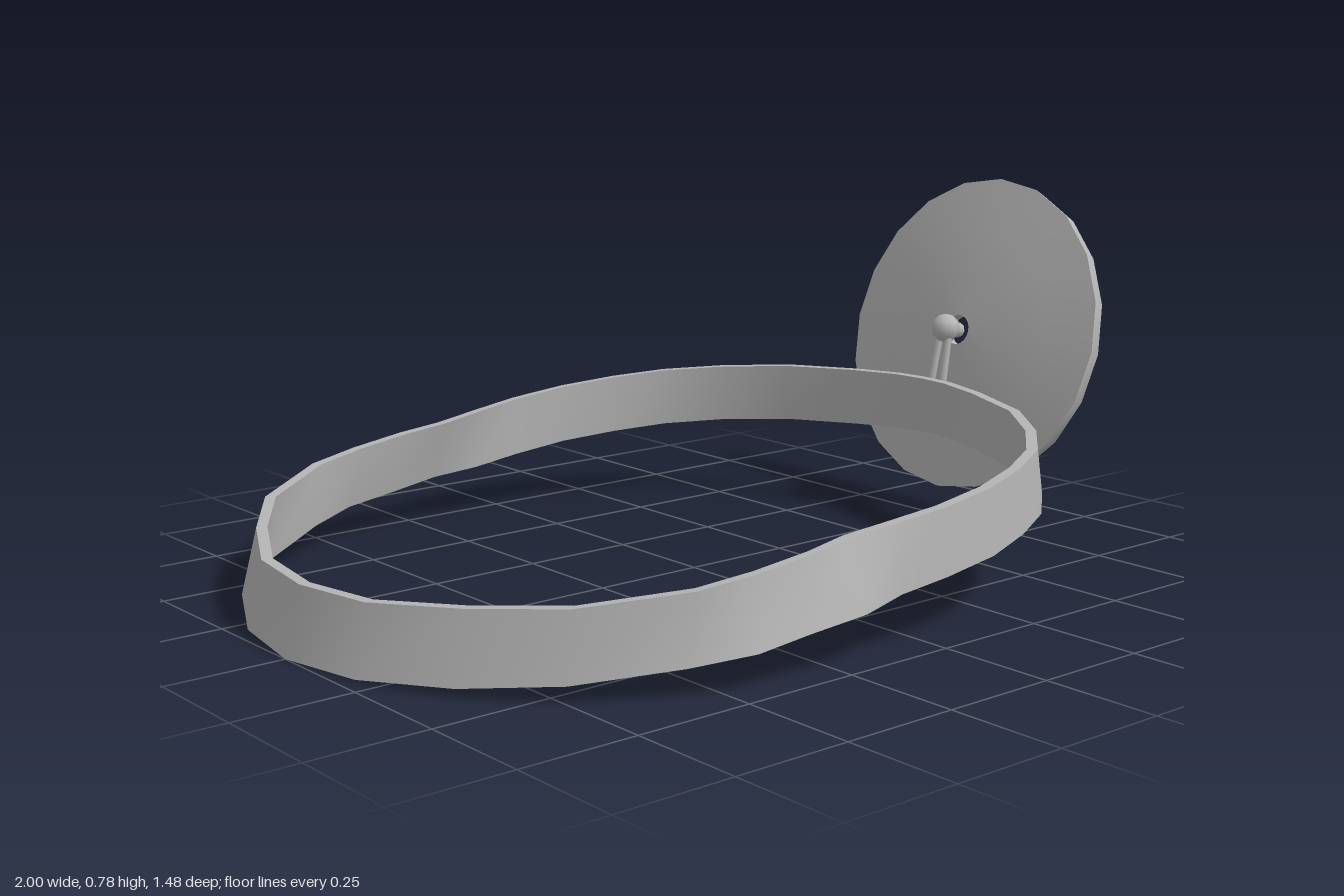
import * as THREE from 'three';
import { toCreasedNormals } from 'three/addons/utils/BufferGeometryUtils.js';

const metal = new THREE.MeshStandardMaterial({ color: 0xb4b4b4 });
metal.name = 'grey metal';

// Half outline of the band, left to right: bottom x, bottom z, top x, top z
const OUTLINE = [
  [-1, 0, -0.965, 0], [-0.97, 0.2, -0.94, 0.19], [-0.88, 0.39, -0.85, 0.375],
  [-0.75, 0.55, -0.735, 0.545], [-0.57, 0.665, -0.55, 0.665], [-0.45, 0.718, -0.43, 0.69],
  [-0.33, 0.725, -0.3, 0.698], [-0.2, 0.738, -0.2, 0.69], [-0.09, 0.718, -0.09, 0.703],
  [0.03, 0.722, 0.03, 0.714], [0.17, 0.712, 0.165, 0.703], [0.3, 0.672, 0.295, 0.665],
  [0.42, 0.615, 0.41, 0.608], [0.53, 0.52, 0.515, 0.512], [0.63, 0.38, 0.615, 0.375],
  [0.7, 0.2, 0.68, 0.2], [0.735, 0.08, 0.71, 0.08], [0.745, 0, 0.715, 0],
];

const bottomY = x => 0.126 + 0.112 * x - 0.014 * x * x;
const topY = x => 0.262 + 0.113 * x - 0.015 * x * x;

// Closed strap swept through four-cornered cross-sections
function bandGeometry() {
  const back = OUTLINE.slice(1, -1).reverse().map(([a, b, c, d]) => [a, -b, c, -d]);
  const loop = [...OUTLINE, ...back];
  const pos = [], index = [], n = loop.length;
  const inset = (x, z) => {
    const s = 1 - 0.023 / Math.hypot(x + 0.13, z);
    return [(x + 0.13) * s - 0.13, z * s];
  };
  for (const [xb, zb, xt, zt] of loop) {
    const [ixb, izb] = inset(xb, zb), [ixt, izt] = inset(xt, zt);
    pos.push(xb, bottomY(xb), zb, xt, topY(xt), zt, ixt, topY(xt), izt, ixb, bottomY(xb), izb);
  }
  for (let i = 0; i < n; i++) {
    for (let k = 0; k < 4; k++) {
      const a = i * 4 + k, d = i * 4 + (k + 1) % 4;
      const b = ((i + 1) % n) * 4 + k, c = ((i + 1) % n) * 4 + (k + 1) % 4;
      index.push(a, b, c, a, c, d);
    }
  }
  const g = new THREE.BufferGeometry();
  g.setAttribute('position', new THREE.Float32BufferAttribute(pos, 3));
  g.setIndex(index);
  return toCreasedNormals(g, 0.7);
}

export function createModel() {
  const model = new THREE.Group();
  model.name = 'headMirror';
  const Z = -0.018; // centre line of the mirror and its hinge

  const add = (name, geometry, x = 0, y = 0, z = 0, parent = model) => {
    const mesh = new THREE.Mesh(geometry, metal);
    mesh.name = name;
    mesh.position.set(x, y, z);
    parent.add(mesh);
    return mesh;
  };
  // Rod between two points
  const rod = (name, a, b, radius) => {
    const from = new THREE.Vector3(...a), to = new THREE.Vector3(...b);
    const dir = to.clone().sub(from);
    const mesh = add(name, new THREE.CylinderGeometry(radius, radius, dir.length(), 8));
    mesh.position.copy(from).add(to).multiplyScalar(0.5);
    mesh.quaternion.setFromUnitVectors(new THREE.Vector3(0, 1, 0), dir.normalize());
  };

  add('headband', bandGeometry());

  // Dished mirror with a viewing hole
  const profile = [
    [0.035, -0.06], [0.14, -0.053], [0.25, -0.038], [0.375, -0.016], [0.367, 0.018],
    [0.25, -0.008], [0.14, -0.026], [0.035, -0.035], [0.035, -0.06],
  ].map(p => new THREE.Vector2(...p));
  const mirror = add('mirror', toCreasedNormals(new THREE.LatheGeometry(profile, 20), 0.5), 0.89, 0.418, Z);
  mirror.rotation.z = -1.839;

  // Ball joint behind the mirror
  add('ballJoint', new THREE.SphereGeometry(0.034, 8, 6), 0.792, 0.442, Z);
  rod('ballStub', [0.79, 0.442, Z], [0.838, 0.432, Z], 0.018);

  // Paired arms down to the hinge
  for (const side of [-1, 1]) {
    rod('arm', [0.788, 0.425, Z + side * 0.014], [0.758, 0.27, Z + side * 0.02], 0.009);
    add('hingeKnob', new THREE.SphereGeometry(0.022, 8, 6), 0.757, 0.262, Z + side * 0.05);
  }
  rod('hingePin', [0.757, 0.262, Z - 0.06], [0.757, 0.262, Z + 0.06], 0.014);
  add('hingeBarrel', new THREE.SphereGeometry(0.028, 8, 6), 0.758, 0.27, Z).scale.y = 1.5;
  rod('hingeMount', [0.715, 0.255, Z], [0.757, 0.262, Z], 0.024);

  return model;
}
